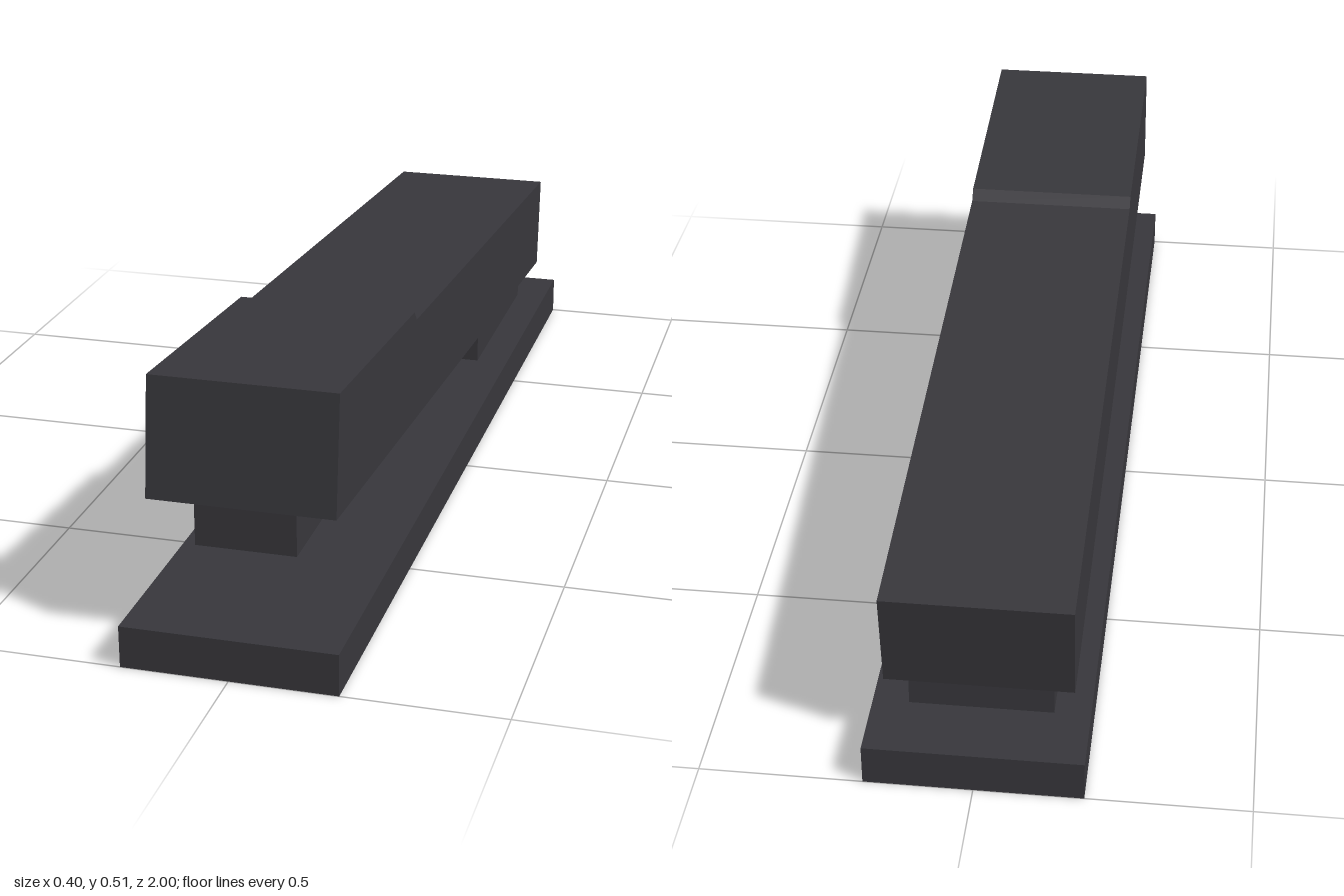
import * as THREE from 'three';

const darkPlastic = new THREE.MeshStandardMaterial({ color: 0x37363b });
darkPlastic.name = 'dark plastic';

// Extrudes a side profile of [z, y] points to a given width, centred on x = 0
function sidePart(name, width, points) {
  const shape = new THREE.Shape(points.map(([z, y]) => new THREE.Vector2(z, y)));
  const geometry = new THREE.ExtrudeGeometry(shape, { depth: width, bevelEnabled: false });
  geometry.translate(0, 0, -width / 2);
  geometry.rotateY(-Math.PI / 2);
  const mesh = new THREE.Mesh(geometry, darkPlastic);
  mesh.name = name;
  return mesh;
}

export function createModel() {
  const group = new THREE.Group();
  group.name = 'stapler';

  // Flat base plate
  const base = new THREE.Mesh(new THREE.BoxGeometry(0.4, 0.08, 2), darkPlastic);
  base.name = 'base';
  base.position.y = 0.04;
  group.add(base);

  // Hinge block at the back, its sloped top tucked into the arm
  group.add(sidePart('hingeBlock', 0.266, [
    [-0.87, 0.08], [-0.405, 0.08], [-0.405, 0.197], [-0.87, 0.166],
  ]));

  // Staple magazine, a wedge under the arm
  group.add(sidePart('magazine', 0.187, [
    [-0.4, 0.198], [0.888, 0.198], [0.888, 0.292], [-0.4, 0.2],
  ]));

  // Tilted top arm with a raised front pad
  group.add(sidePart('arm', 0.346, [
    [-0.9, 0.158], [0.915, 0.29], [0.888, 0.513], [0.365, 0.473],
    [0.347, 0.452], [-0.925, 0.357],
  ]));

  return group;
}
